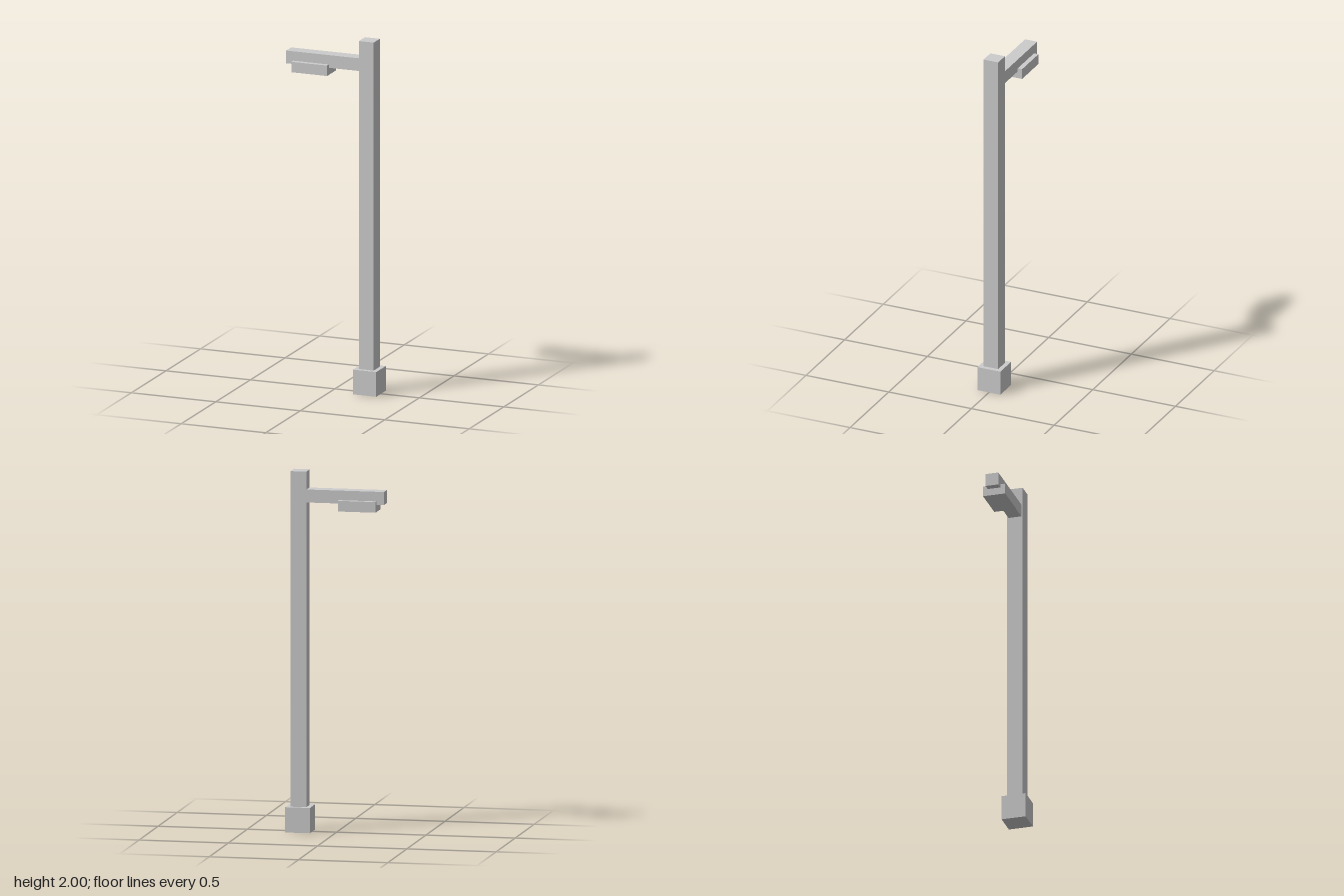
import * as THREE from 'three';

export function createModel() {
  const group = new THREE.Group();
  const material = new THREE.MeshStandardMaterial({ color: 0xcccccc, flatShading: true });

  // Box from its x and y limits, centred on z
  const addBox = (name, [x0, x1], [y0, y1], depth) => {
    const mesh = new THREE.Mesh(new THREE.BoxGeometry(x1 - x0, y1 - y0, depth), material);
    mesh.position.set((x0 + x1) / 2, (y0 + y1) / 2, 0);
    mesh.name = name;
    group.add(mesh);
  };

  addBox('base', [0.135, 0.273], [0, 0.14], 0.138);
  addBox('pole', [0.16, 0.248], [0.14, 2], 0.088);
  // Arm butts against the pole; the lamp is let into its underside
  addBox('arm', [-0.273, 0.16], [1.828, 1.9], 0.073);
  addBox('lampHead', [-0.232, -0.02], [1.788, 1.847], 0.127);

  return group;
}
